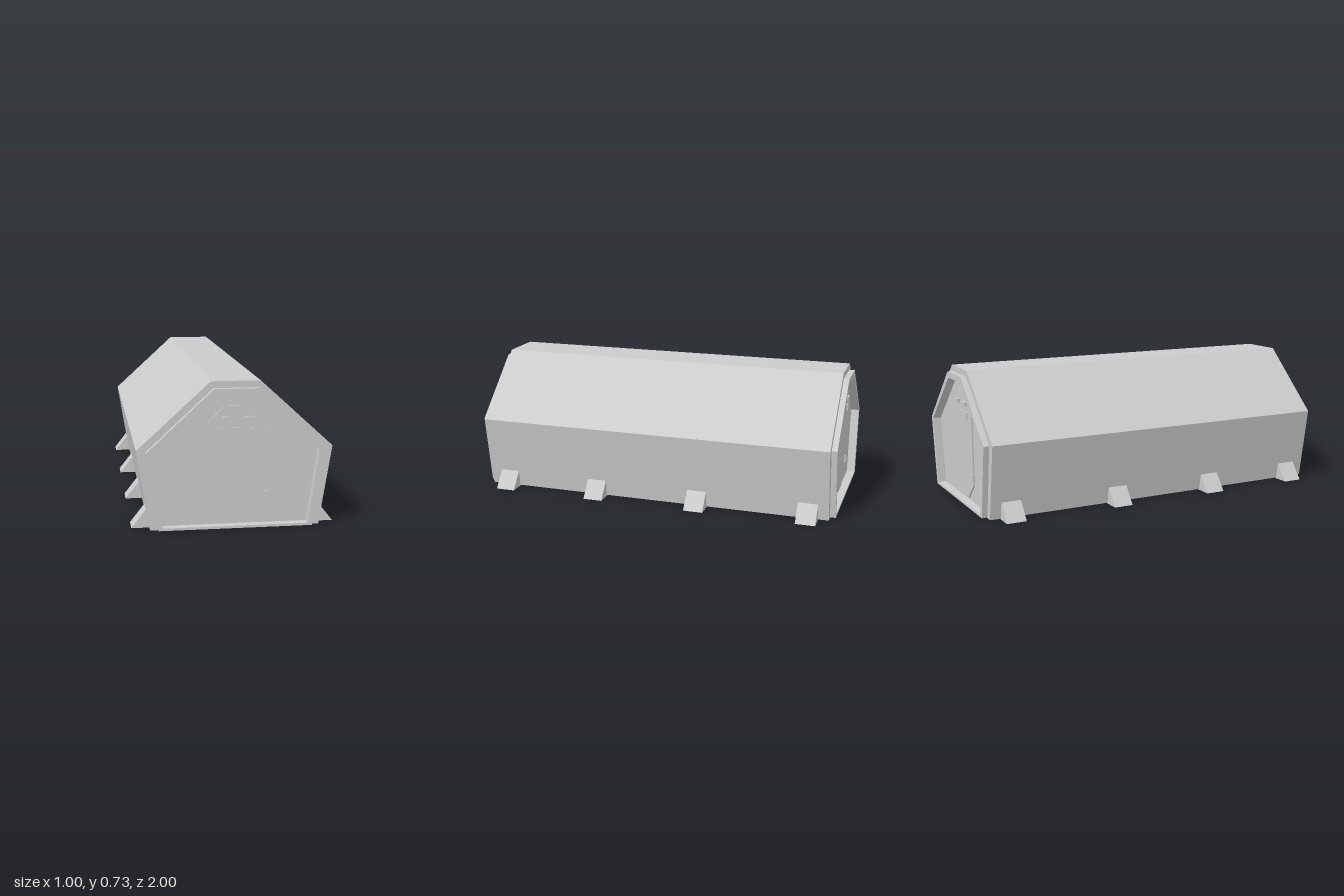
import * as THREE from 'three';

const mat = new THREE.MeshStandardMaterial({ color: 0xcccccc, flatShading: true });

// Symmetric outline from the right-hand half of its points
const mirrored = (half) => [...half, ...half.slice().reverse().map(([x, y]) => [-x, y])];
const toPoints = (pts) => pts.map(([x, y]) => new THREE.Vector2(x, y));

// Prism along z between z0 and z1, with an optional hole
function prism(name, pts, z0, z1, hole) {
  const shape = new THREE.Shape(toPoints(pts));
  if (hole) shape.holes.push(new THREE.Path(toPoints(hole)));
  const geo = new THREE.ExtrudeGeometry(shape, { depth: z1 - z0, bevelEnabled: false });
  geo.translate(0, 0, z0);
  const mesh = new THREE.Mesh(geo, mat);
  mesh.name = name;
  return mesh;
}

function box(name, x0, x1, y0, y1, z0, z1) {
  const mesh = new THREE.Mesh(new THREE.BoxGeometry(x1 - x0, y1 - y0, z1 - z0), mat);
  mesh.position.set((x0 + x1) / 2, (y0 + y1) / 2, (z0 + z1) / 2);
  mesh.name = name;
  return mesh;
}

const OUTER = mirrored([[0.415, 0.004], [0.478, 0.398], [0.12, 0.725]]);
const FRAME = mirrored([[0.376, 0.008], [0.434, 0.39], [0.108, 0.692]]);
const INNER = mirrored([[0.354, 0.02], [0.408, 0.384], [0.096, 0.66]]);
const PANEL_Z = 0.955;

// One end wall: stepped surround, recessed bulkhead and hatch
function createEnd(name) {
  const end = new THREE.Group();
  end.name = name;
  end.add(prism('endCollar', OUTER, PANEL_Z, 0.97, INNER));
  end.add(prism('doorwayFrame', FRAME, 0.97, 1, INNER));

  const door = [[-0.14, 0.115], [-0.058, 0.03], [0.065, 0.03], [0.152, 0.115],
    [0.152, 0.518], [0.068, 0.603], [-0.055, 0.603], [-0.139, 0.518]];
  end.add(prism('door', door, PANEL_Z - 0.005, PANEL_Z + 0.008));
  end.add(box('doorPlate', -0.075, 0.091, 0.455, 0.497, PANEL_Z, PANEL_Z + 0.013));

  // Hinges on the door edge
  for (const y of [0.16, 0.469]) {
    end.add(box('hinge', 0.145, 0.161, y - 0.02, y + 0.02, PANEL_Z, PANEL_Z + 0.014));
  }
  // Hooded vision blocks
  for (const x of [-0.049, 0.067]) {
    end.add(box('visionBlock', x - 0.022, x + 0.022, 0.53, 0.547, PANEL_Z, PANEL_Z + 0.02));
    end.add(box('visionHood', x - 0.022, x + 0.022, 0.547, 0.553, PANEL_Z, PANEL_Z + 0.028));
  }
  return end;
}

export function createModel() {
  const model = new THREE.Group();
  model.name = 'shelter';

  // Shell with a shallow channel along its underside
  const shellProfile = [...OUTER, [-0.385, 0.004], [-0.385, 0.025], [0.385, 0.025], [0.385, 0.004]];
  model.add(prism('shell', shellProfile, -PANEL_Z, PANEL_Z));

  // Two matching ends
  const front = createEnd('frontEnd');
  const back = createEnd('backEnd');
  back.rotation.y = Math.PI;
  model.add(front, back);

  // Cross members closing the ends of the floor
  for (const s of [-1, 1]) {
    const bar = box('floorEndBar', -0.385, 0.385, 0.004, 0.026, -0.01, 0.01);
    bar.position.z = s * 0.945;
    model.add(bar);
  }

  // Wedge feet, with a pair of floor rails joining each left and right foot
  for (const z of [-0.86, -0.255, 0.322, 0.855]) {
    for (const s of [-1, 1]) {
      const foot = prism('foot', [[0.4, 0], [0.502, 0], [0.429, 0.092], [0.4, 0.092]], -0.053, 0.053);
      foot.rotation.y = s < 0 ? Math.PI : 0;
      foot.position.z = z;
      model.add(foot);
      model.add(box('floorRail', -0.41, 0.41, 0.002, 0.026, z + s * 0.043 - 0.01, z + s * 0.043 + 0.01));
    }
  }
  return model;
}
